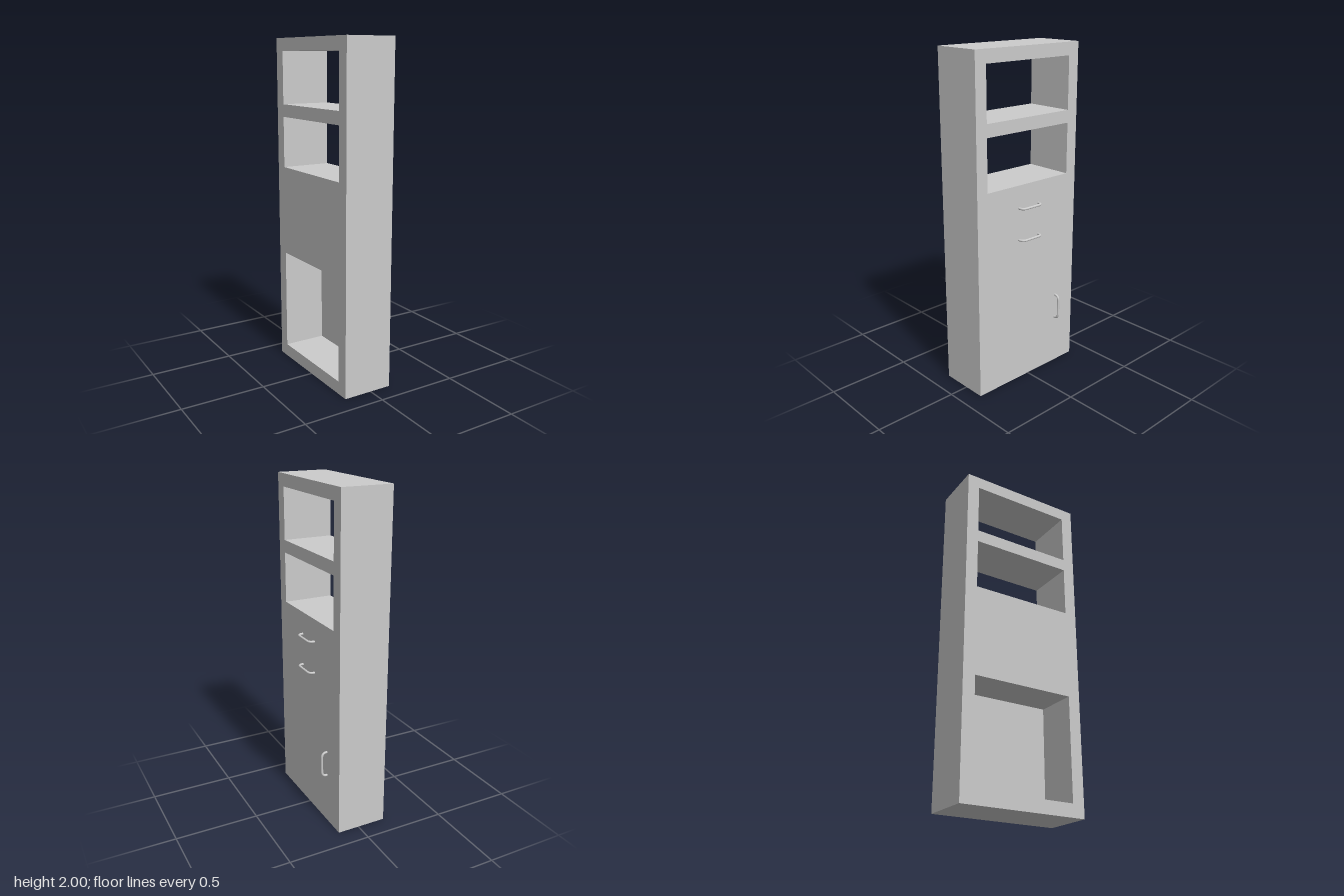
import * as THREE from 'three';

const BACK = -0.173, FRONT = 0.132, HALF_W = 0.384, HEIGHT = 2;
const OPEN_HALF = 0.31, DOOR_DEPTH = 0.044;
const DOOR = [0.077, 0.692];
const OPENINGS = [[1.615, 1.925], [1.235, 1.54], DOOR];

const material = new THREE.MeshStandardMaterial({ color: 0xcccccc });

function rectangle(target, halfWidth, y0, y1) {
  target.moveTo(-halfWidth, y0);
  target.lineTo(halfWidth, y0);
  target.lineTo(halfWidth, y1);
  target.lineTo(-halfWidth, y1);
  target.closePath();
  return target;
}

function addMesh(group, name, geometry) {
  const mesh = new THREE.Mesh(geometry, material);
  mesh.name = name;
  group.add(mesh);
  return mesh;
}

// Bow handle: two legs along x joined by a bar along y, with rounded bends
function handleGeometry() {
  const inner = FRONT - 0.005, outer = 0.165, half = 0.0765, bend = 0.03;
  const p = (x, y) => new THREE.Vector3(x, y, 0);
  const path = new THREE.CurvePath();
  path.add(new THREE.LineCurve3(p(inner, -half), p(outer - bend, -half)));
  path.add(new THREE.QuadraticBezierCurve3(p(outer - bend, -half), p(outer, -half), p(outer, -half + bend)));
  path.add(new THREE.LineCurve3(p(outer, -half + bend), p(outer, half - bend)));
  path.add(new THREE.QuadraticBezierCurve3(p(outer, half - bend), p(outer, half), p(outer - bend, half)));
  path.add(new THREE.LineCurve3(p(outer - bend, half), p(inner, half)));
  return new THREE.TubeGeometry(path, 64, 0.0072, 12, false);
}

export function createModel() {
  const group = new THREE.Group();
  group.name = 'cabinet';

  // Carcass with two open shelves and the lower cupboard
  const outline = rectangle(new THREE.Shape(), HALF_W, 0, HEIGHT);
  for (const [y0, y1] of OPENINGS) outline.holes.push(rectangle(new THREE.Path(), OPEN_HALF, y0, y1));
  const carcass = new THREE.ExtrudeGeometry(outline, { depth: FRONT - BACK, bevelEnabled: false });
  carcass.rotateY(Math.PI / 2).translate(BACK, 0, 0);
  addMesh(group, 'carcass', carcass);

  // Flush door closing the cupboard on the handle side
  const door = addMesh(group, 'door', new THREE.BoxGeometry(DOOR_DEPTH, DOOR[1] - DOOR[0], OPEN_HALF * 2));
  door.position.set(FRONT - DOOR_DEPTH / 2, (DOOR[0] + DOOR[1]) / 2, 0);

  // Handles
  const handle = handleGeometry();
  [['upperDrawerHandle', 1.1], ['lowerDrawerHandle', 0.908]].forEach(([name, y]) => {
    const mesh = addMesh(group, name, handle);
    mesh.rotation.x = Math.PI / 2;
    mesh.position.y = y;
  });
  addMesh(group, 'doorHandle', handle).position.set(0, 0.387, -0.232);

  return group;
}
